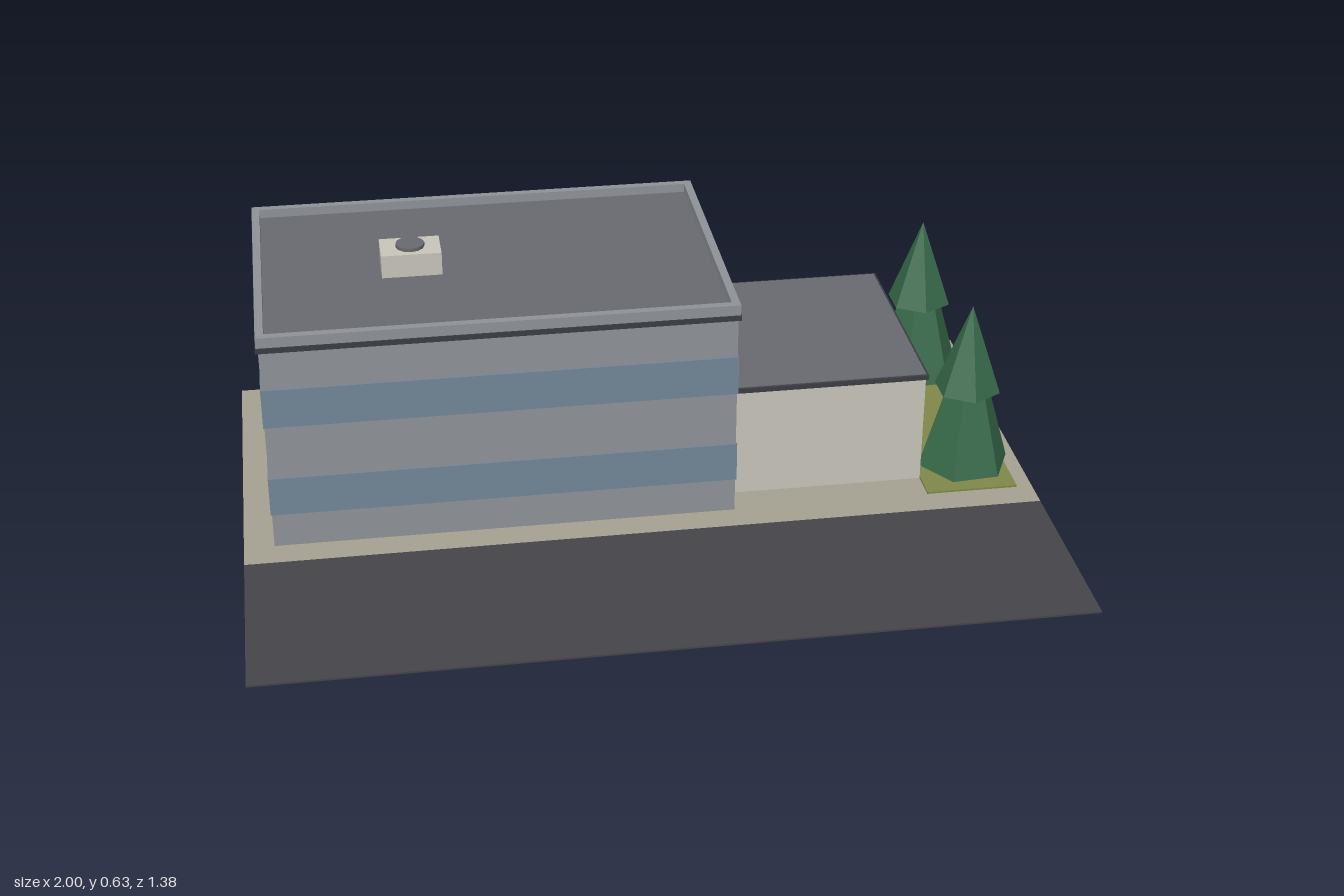
import * as THREE from 'three';

const mat = (name, color, flatShading = false) => {
  const m = new THREE.MeshStandardMaterial({ color, flatShading });
  m.name = name;
  return m;
};

export function createModel() {
  const wall = mat('wall grey', 0x8f9498);
  const glass = mat('window blue', 0x728699);
  const roof = mat('roof grey', 0x6a6b70);
  const trim = mat('dark trim', 0x3c3d42);
  const cream = mat('cream', 0xc9c6ba);
  const paving = mat('paving', 0xa6a292);
  const asphalt = mat('asphalt', 0x464549);
  const grass = mat('grass', 0x80894a);
  const leaf = mat('evergreen', 0x37694a, true);

  const model = new THREE.Group();
  model.name = 'officeBuilding';

  // Box given by its limits on each axis
  const box = (name, material, [x0, x1], [y0, y1], [z0, z1], parent = model) => {
    const mesh = new THREE.Mesh(new THREE.BoxGeometry(x1 - x0, y1 - y0, z1 - z0), material);
    mesh.position.set((x0 + x1) / 2, (y0 + y1) / 2, (z0 + z1) / 2);
    mesh.name = name;
    parent.add(mesh);
    return mesh;
  };

  // Ground
  box('pavement', paving, [-1, 1], [0, 0.005], [-0.69, 0.19]);
  box('road', asphalt, [-1, 1], [0, 0.005], [0.19, 0.69]);
  box('lawn', grass, [0.725, 0.96], [0.005, 0.01], [-0.615, 0.115]);

  // Main block with wrap-around window bands
  box('mainBlock', wall, [-0.925, 0.225], [0.005, 0.545], [-0.615, 0.115]);
  for (const y of [0.095, 0.34]) {
    box('windowBand', glass, [-0.928, 0.228], [y, y + 0.102], [-0.618, 0.118]);
  }
  box('roofTrim', trim, [-0.932, 0.232], [0.544, 0.558], [-0.622, 0.122]);
  box('mainRoof', roof, [-0.912, 0.212], [0.555, 0.562], [-0.602, 0.102]);

  // Parapet ring
  const ring = new THREE.Shape();
  ring.moveTo(-0.58, -0.37).lineTo(0.58, -0.37).lineTo(0.58, 0.37).lineTo(-0.58, 0.37).closePath();
  const hole = new THREE.Path();
  hole.moveTo(-0.56, -0.35).lineTo(-0.56, 0.35).lineTo(0.56, 0.35).lineTo(0.56, -0.35).closePath();
  ring.holes.push(hole);
  const parapet = new THREE.Mesh(
    new THREE.ExtrudeGeometry(ring, { depth: 0.027, bevelEnabled: false }).rotateX(-Math.PI / 2), wall);
  parapet.position.set(-0.35, 0.558, -0.25);
  parapet.name = 'parapet';
  model.add(parapet);

  // Rooftop ventilation unit
  box('ventUnit', cream, [-0.615, -0.465], [0.562, 0.622], [-0.3, -0.2]);
  const fan = new THREE.Mesh(new THREE.CylinderGeometry(0.036, 0.036, 0.01, 12), roof);
  fan.position.set(-0.54, 0.626, -0.25);
  fan.name = 'ventFan';
  model.add(fan);

  // Side annex
  box('annex', cream, [0.225, 0.725], [0.005, 0.298], [-0.535, 0.035]);
  box('annexRoofTrim', trim, [0.225, 0.731], [0.297, 0.309], [-0.545, 0.042]);
  box('annexRoof', roof, [0.228, 0.725], [0.308, 0.311], [-0.538, 0.035]);

  // Two-tier trees
  for (const z of [0, -0.5]) {
    const tree = new THREE.Group();
    tree.name = 'tree';
    const lower = new THREE.Mesh(new THREE.CylinderGeometry(0.055, 0.12, 0.22, 6), leaf);
    lower.position.y = 0.14;
    lower.rotation.y = Math.PI / 6 + 0.08;
    lower.name = 'lowerFoliage';
    const upper = new THREE.Mesh(new THREE.ConeGeometry(0.085, 0.232, 6), leaf);
    upper.position.y = 0.359;
    upper.name = 'upperFoliage';
    tree.add(lower, upper);
    tree.position.set(0.845, 0, z);
    model.add(tree);
  }
  return model;
}
